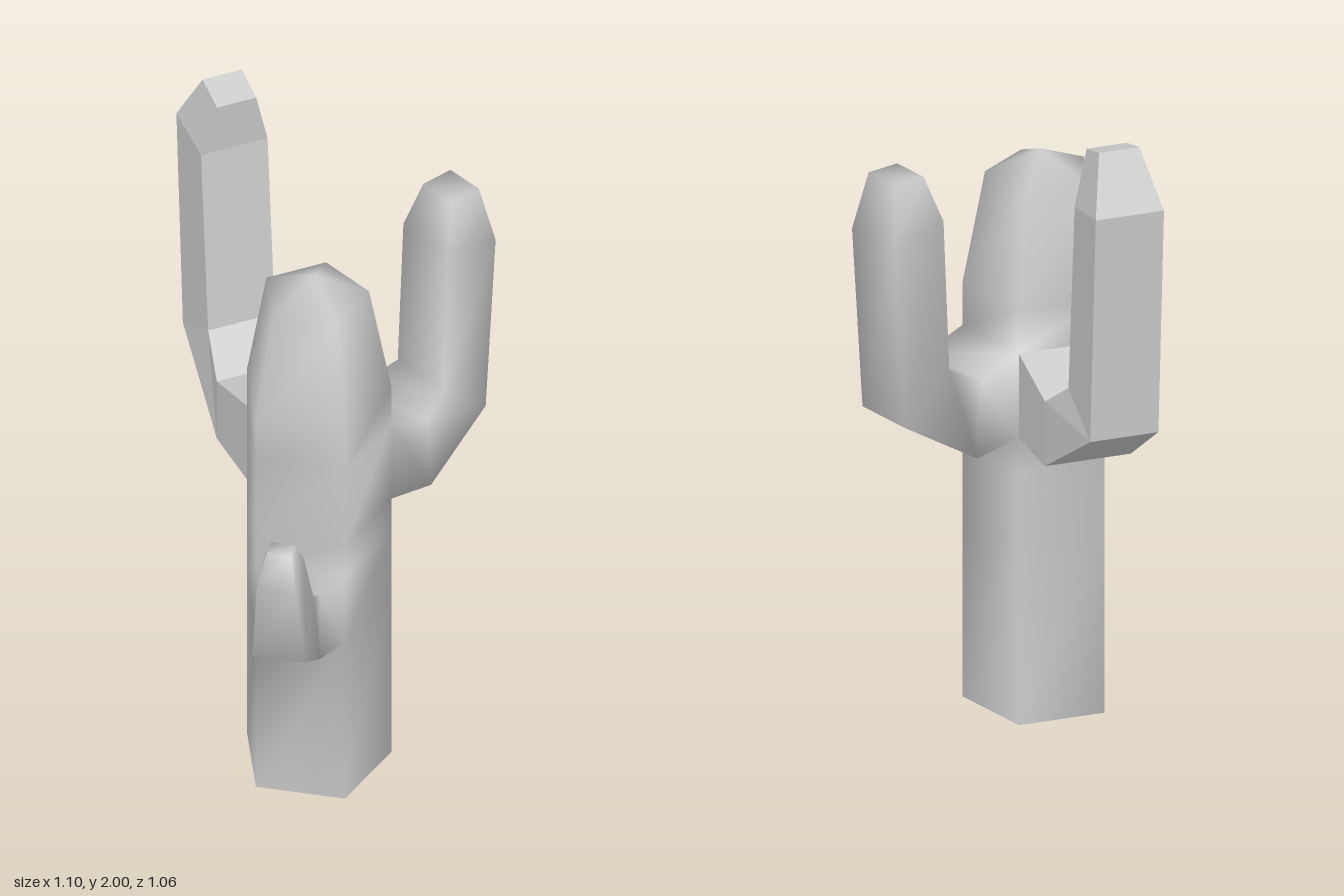
import * as THREE from 'three';

const CENTER = [0.2, 0.085], RADIUS = 0.225, SIDES = 5;
const APOTHEM = RADIUS * Math.cos(Math.PI / SIDES);
const HALF_SIDE = RADIUS * Math.sin(Math.PI / SIDES);
const STEP = (2 * Math.PI) / SIDES;

// Skin a series of equal-length rings; skip(ring, side) leaves openings.
function loft(rings, { cap = false, tip = null, skip = () => false } = {}) {
  const n = rings[0].length, index = [];
  const points = rings.flat();
  for (let r = 0; r < rings.length - 1; r++) {
    for (let i = 0; i < n; i++) {
      if (skip(r, i)) continue;
      const j = (i + 1) % n, a = r * n, b = a + n;
      index.push(a + i, a + j, b + j, a + i, b + j, b + i);
    }
  }
  const last = (rings.length - 1) * n;
  if (cap) for (let i = 1; i < n - 1; i++) index.push(last, last + i, last + i + 1);
  if (tip) {
    points.push(tip);
    for (let i = 0; i < n; i++) index.push(last + i, last + ((i + 1) % n), points.length - 1);
  }
  const geo = new THREE.BufferGeometry();
  geo.setAttribute('position', new THREE.Float32BufferAttribute(points.flat(), 3));
  geo.setIndex(index);
  geo.computeVertexNormals();
  return geo;
}

// Five-sided trunk ring
const trunkRing = (y, r) => Array.from({ length: SIDES }, (_, k) =>
  [CENTER[0] + r * Math.sin(k * STEP), y, CENTER[1] + r * Math.cos(k * STEP)]);

// Arm growing from one trunk side; each section is
// [half width, outer distance, outer y, inner distance, inner y]
function arm(side, sections) {
  const angle = (side + 0.5) * STEP, s = Math.sin(angle), c = Math.cos(angle);
  const at = (d, h, y) => [
    CENTER[0] + (APOTHEM + d) * s + h * c, y, CENTER[1] + (APOTHEM + d) * c - h * s];
  return loft(sections.map(([h, dOut, yOut, dIn, yIn]) =>
    [at(dOut, -h, yOut), at(dOut, h, yOut), at(dIn, h, yIn), at(dIn, -h, yIn)]), { cap: true });
}

// Blend normals wherever separate parts share a corner
function blendNormals(geos) {
  const sums = new Map(), v = new THREE.Vector3();
  const each = (fn) => geos.forEach((g) => {
    const p = g.attributes.position, n = g.attributes.normal;
    for (let i = 0; i < p.count; i++) {
      const key = [p.getX(i), p.getY(i), p.getZ(i)].map((t) => Math.round(t * 1000)).join();
      fn(key, n, i);
    }
  });
  each((key, n, i) => {
    if (!sums.has(key)) sums.set(key, new THREE.Vector3());
    sums.get(key).add(v.fromBufferAttribute(n, i));
  });
  each((key, n, i) => {
    v.copy(sums.get(key)).normalize();
    n.setXYZ(i, v.x, v.y, v.z);
  });
}

export function createModel() {
  const group = new THREE.Group();
  group.name = 'cactus';
  const grey = new THREE.MeshStandardMaterial({ color: 0xcccccc });
  grey.name = 'light grey';
  const add = (name, geo) => {
    const mesh = new THREE.Mesh(geo, grey);
    mesh.name = name;
    group.add(mesh);
  };

  // Trunk with openings where the arms join
  const heights = [0, 0.56, 0.795, 0.91, 1.175, 1.31];
  const trunk = loft(
    [...heights.map((y) => trunkRing(y, RADIUS)), trunkRing(1.66, 0.16)],
    {
      tip: [CENTER[0], 1.73, CENTER[1]],
      skip: (r, i) => (r === 1 && i === 0) || (r === 3 && (i === 2 || i === 3)),
    });

  // Small front arm
  const frontArm = arm(0, [
    [HALF_SIDE, 0, 0.56, 0, 0.795],
    [0.08, 0.1, 0.565, 0.1, 0.795],
    [0.08, 0.285, 0.685, 0.183, 0.845],
    [0.057, 0.325, 0.96, 0.21, 1.0],
    [0.035, 0.288, 1.06, 0.23, 1.06],
  ]);

  // Rear arm
  const rearArm = arm(2, [
    [HALF_SIDE, 0, 0.91, 0, 1.175],
    [HALF_SIDE, 0.153, 0.885, 0.138, 1.125],
    [0.1, 0.393, 1.035, 0.23, 1.17],
    [0.098, 0.433, 1.61, 0.25, 1.65],
    [0.062, 0.4, 1.79, 0.295, 1.79],
  ]);

  // Tall faceted arm
  const tallArm = arm(3, [
    [HALF_SIDE, 0, 0.91, 0, 1.175],
    [HALF_SIDE, 0.22, 0.91, 0.22, 1.115],
    [0.105, 0.529, 1.11, 0.345, 1.205],
    [0.105, 0.576, 1.83, 0.397, 1.8],
    [0.062, 0.485, 2.0, 0.38, 1.97],
  ]).toNonIndexed();
  tallArm.computeVertexNormals();

  blendNormals([trunk, frontArm, rearArm]);
  add('trunk', trunk);
  add('frontArm', frontArm);
  add('rearArm', rearArm);
  add('tallArm', tallArm);

  // Flat underside
  const base = new THREE.CircleGeometry(RADIUS, SIDES, Math.PI / 2);
  base.rotateX(Math.PI / 2).translate(CENTER[0], 0, CENTER[1]);
  add('trunkBase', base);
  return group;
}
